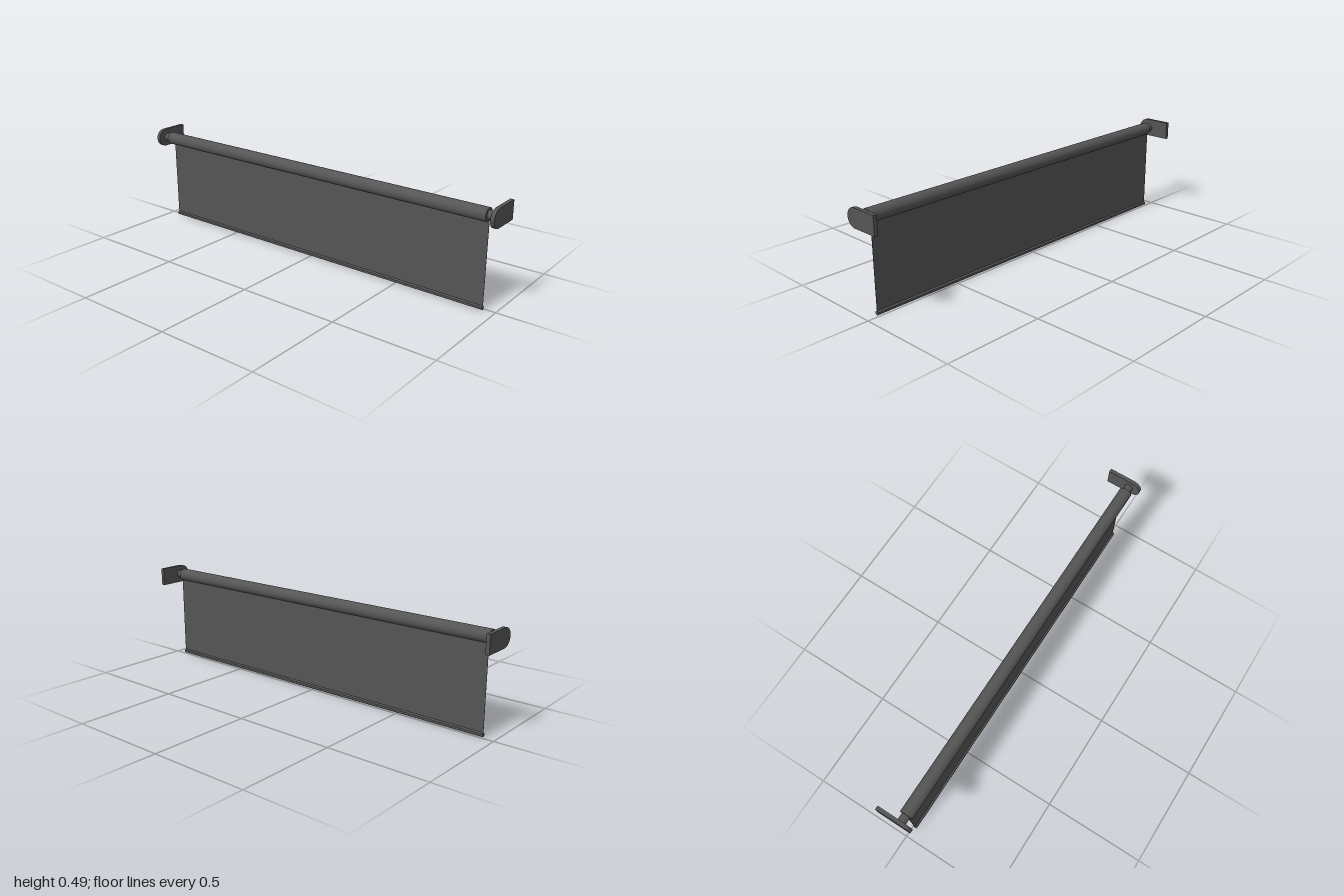
import * as THREE from 'three';

const AXIS_Y = 0.447, AXIS_Z = 0.03;

export function createModel() {
  const group = new THREE.Group();
  const smooth = new THREE.MeshStandardMaterial({ color: 0x555555 });
  const flat = new THREE.MeshStandardMaterial({ color: 0x555555, flatShading: true });

  const add = (name, geometry, material, x, y, z) => {
    const mesh = new THREE.Mesh(geometry, material);
    mesh.name = name;
    mesh.position.set(x, y, z);
    group.add(mesh);
  };
  // cylinder lying along x
  const rod = (r, length, sides) => new THREE.CylinderGeometry(r, r, length, sides).rotateZ(Math.PI / 2);

  // rolled-up fabric on its tube
  add('fabricRoll', rod(0.032, 1.896, 32), smooth, 0, AXIS_Y, AXIS_Z);

  // thin hanging sheet, from inside the roll down to the hem
  const top = 0.425, bottom = 0.0105, sheetZ = 0.0125;
  add('hangingSheet', new THREE.BoxGeometry(1.888, top - bottom, 0.001), flat, 0, (top + bottom) / 2, sheetZ);

  // six-sided hem bar with a corner pointing up
  add('hemBar', rod(0.0105, 1.888, 6).rotateX(Math.PI / 6), flat, 0, 0.0105, sheetZ);

  // wall bracket outline: square at the back, round at the front
  const r = 0.045, half = 0.088, thick = 0.018;
  const outline = new THREE.Shape();
  outline.moveTo(-half, -r);
  outline.lineTo(half - r, -r);
  outline.absarc(half - r, 0, r, -Math.PI / 2, Math.PI / 2, false);
  outline.lineTo(-half, r);
  outline.closePath();
  const bracket = new THREE.ExtrudeGeometry(outline, { depth: thick, bevelEnabled: false, curveSegments: 20 })
    .translate(0, 0, -thick / 2)
    .rotateY(-Math.PI / 2);

  // a bracket and a roll pin at each end
  for (const [side, s] of [['left', 1], ['right', -1]]) {
    add(side + 'Bracket', bracket, smooth, s * (1 - thick / 2), AXIS_Y, 0);
    add(side + 'Pin', rod(0.021, 0.06, 24), smooth, s * 0.96, AXIS_Y, AXIS_Z);
  }
  return group;
}
